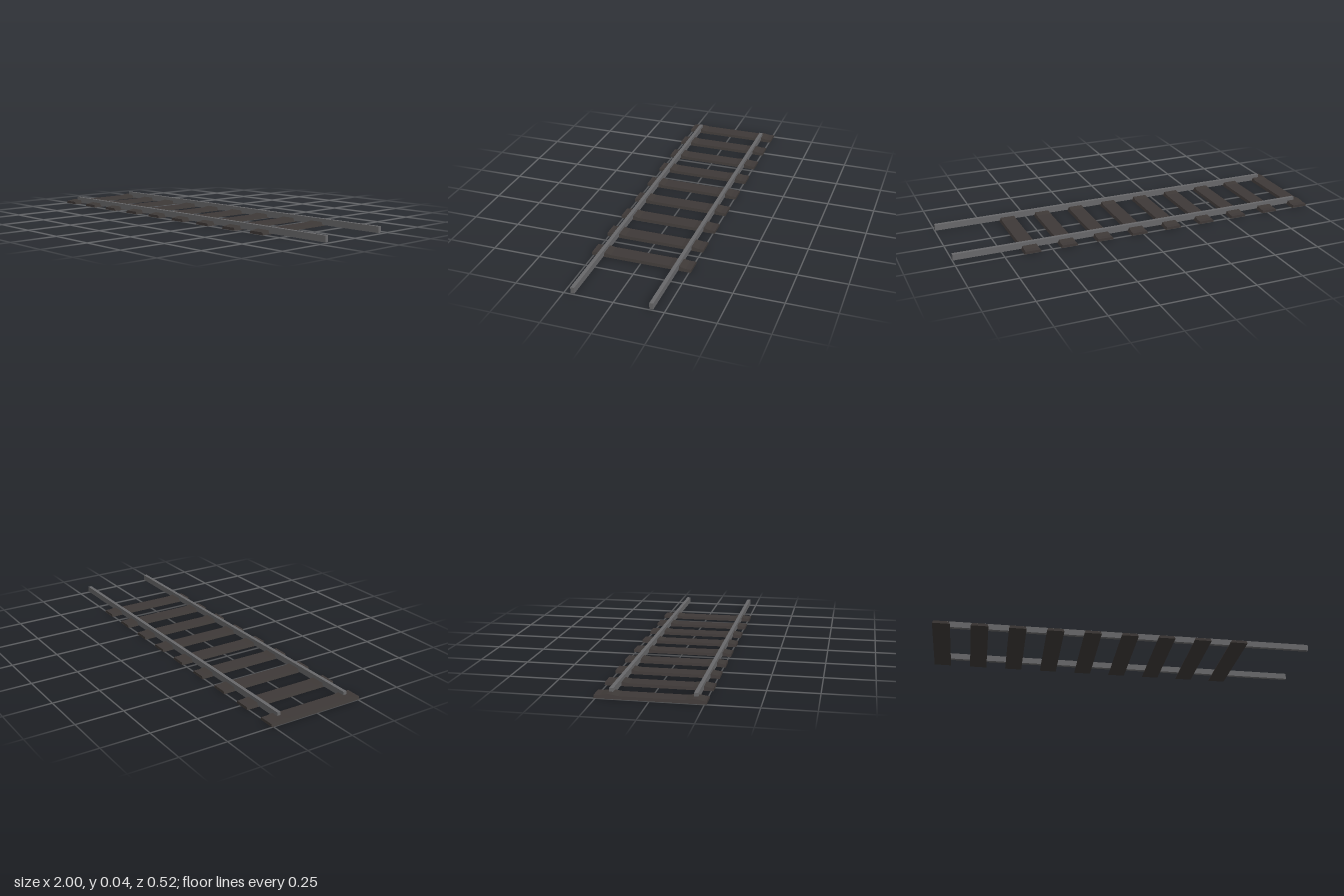
import * as THREE from 'three';

const railZ = [0.205, -0.187];
const sleeperCount = 9, pitch = 0.195, firstX = -0.955;

// Sleeper: side profile with raised rail seats, narrowing towards the top
function sleeperGeometry() {
  const width = 0.09;
  const profile = [[-0.26, 0], [0.259, 0], [0.259, 0.014]];
  // Profile runs along -z, so the rear rail seat comes first
  for (const z of [...railZ].reverse()) {
    const s = -z;
    profile.push([s + 0.043, 0.014], [s + 0.01, 0.02], [s - 0.01, 0.02], [s - 0.043, 0.014]);
  }
  profile.push([-0.26, 0.014]);
  const shape = new THREE.Shape(profile.map(([x, y]) => new THREE.Vector2(x, y)));
  const geometry = new THREE.ExtrudeGeometry(shape, { depth: width, bevelEnabled: false });
  geometry.translate(0, 0, -width / 2).rotateY(Math.PI / 2);
  const p = geometry.attributes.position;
  for (let i = 0; i < p.count; i++) {
    p.setX(i, Math.sign(p.getX(i)) * (width / 2 - 0.4 * p.getY(i)));
  }
  geometry.computeVertexNormals();
  return geometry;
}

export function createModel() {
  const group = new THREE.Group();
  group.name = 'railwayTrack';
  const wood = new THREE.MeshStandardMaterial({ color: 0x3e3937 });
  const steel = new THREE.MeshStandardMaterial({ color: 0x68686a });

  // Evenly spaced sleepers
  const sleeperShape = sleeperGeometry();
  for (let i = 0; i < sleeperCount; i++) {
    const sleeper = new THREE.Mesh(sleeperShape, wood);
    sleeper.name = `sleeper${i + 1}`;
    sleeper.position.x = firstX + i * pitch;
    group.add(sleeper);
  }

  // Two rails, offset lengthwise so that sections can join
  const railShape = new THREE.BoxGeometry(1.955, 0.032, 0.019);
  railZ.forEach((z, i) => {
    const rail = new THREE.Mesh(railShape, steel);
    rail.name = i === 0 ? 'frontRail' : 'backRail';
    rail.position.set(0.0225, 0.021, z);
    group.add(rail);
  });
  return group;
}
